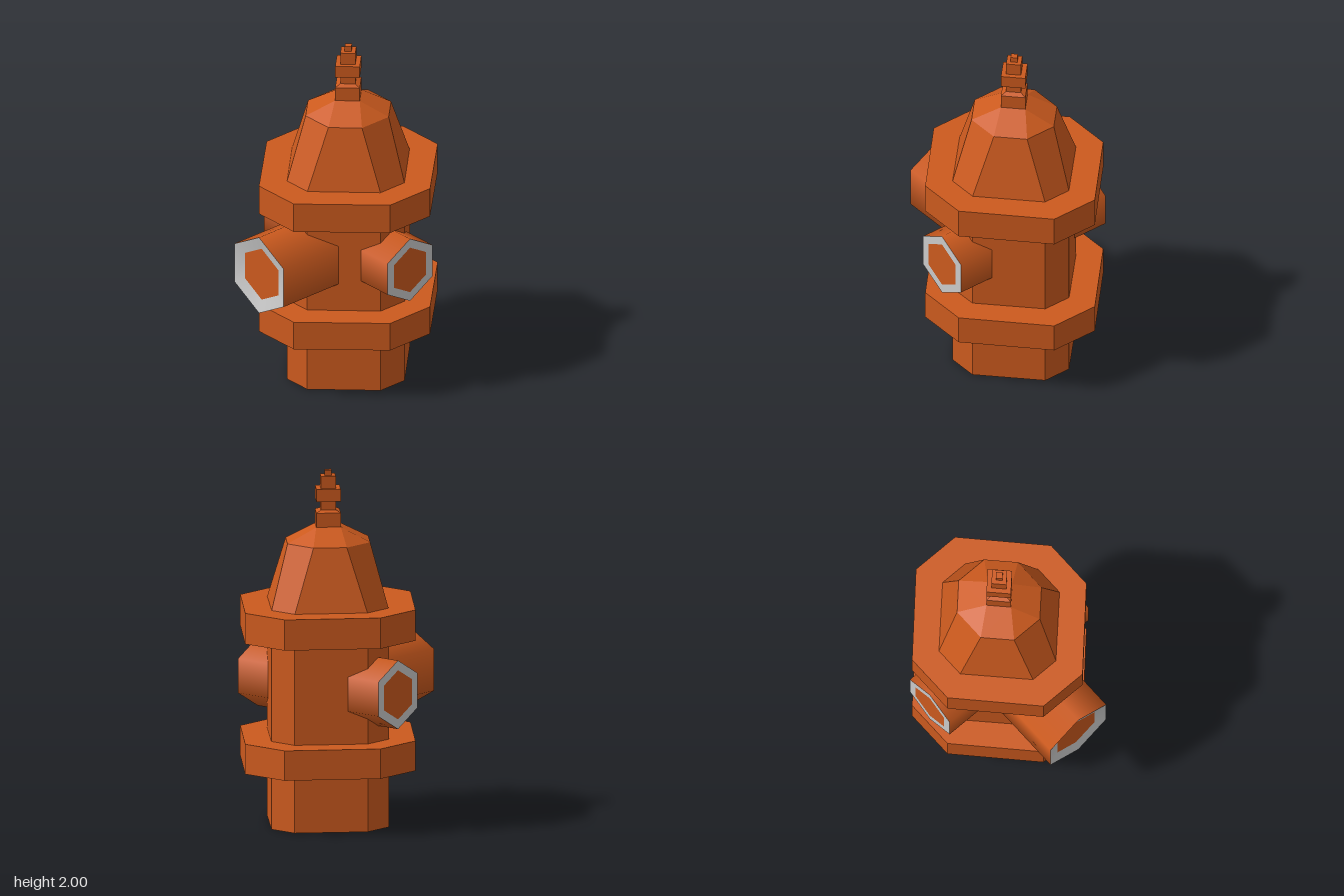
import * as THREE from 'three';

const paint = new THREE.MeshStandardMaterial({ color: 0xcc5a1e });
const metal = new THREE.MeshStandardMaterial({ color: 0xcccccc });
const CENTER_Z = -0.065;
const NOZZLE_Y = 0.785;

// Capped, flat-faced loft through octagons [y, halfX, halfZ, cornerX, cornerZ];
// zero corner values turn a section into a diamond.
function loft(name, sections) {
  const rings = sections.map(([y, hx, hz, cx, cz]) =>
    [[cx, hz], [hx, cz], [hx, -cz], [cx, -hz], [-cx, -hz], [-hx, -cz], [-hx, cz], [-cx, hz]]
      .map(([x, z]) => new THREE.Vector3(x, y, z)));
  const pos = [];
  const tri = (a, b, c) => {
    const area = b.clone().sub(a).cross(c.clone().sub(a)).length();
    if (area > 1e-8) for (const p of [a, b, c]) pos.push(p.x, p.y, p.z);
  };
  for (let r = 0; r < rings.length - 1; r++) {
    for (let i = 0; i < 8; i++) {
      const j = (i + 1) % 8;
      tri(rings[r][i], rings[r][j], rings[r + 1][j]);
      tri(rings[r][i], rings[r + 1][j], rings[r + 1][i]);
    }
  }
  const low = rings[0], high = rings[rings.length - 1];
  for (let i = 1; i < 7; i++) {
    tri(low[0], low[i + 1], low[i]);
    tri(high[0], high[i], high[i + 1]);
  }
  const geo = new THREE.BufferGeometry();
  geo.setAttribute('position', new THREE.Float32BufferAttribute(pos, 3));
  geo.computeVertexNormals();
  const mesh = new THREE.Mesh(geo, paint);
  mesh.name = name;
  return mesh;
}

// Hexagonal outlet pointing along +z, with a grey rim around a painted cap
function nozzle(name, radius, innerRadius, start, end, bevel) {
  const group = new THREE.Group();
  group.name = name;
  const add = (part, geo, material) => {
    const mesh = new THREE.Mesh(geo.rotateX(Math.PI / 2), material);
    mesh.name = part;
    group.add(mesh);
  };
  const barrel = new THREE.CylinderGeometry(radius, radius, end - start, 6, 1, true);
  add('barrel', barrel.rotateY(Math.PI).translate(0, (start + end) / 2, 0), paint);
  const rim = new THREE.LatheGeometry(
    [new THREE.Vector2(radius, end), new THREE.Vector2(innerRadius, end - bevel)], 6);
  add('rim', rim, new THREE.MeshStandardMaterial({ color: metal.color, side: THREE.DoubleSide }));
  const cap = new THREE.CircleGeometry(innerRadius, 6, Math.PI / 2);
  add('cap', cap.rotateX(-Math.PI / 2).translate(0, end - bevel, 0), paint);
  group.position.y = NOZZLE_Y;
  return group;
}

export function createModel() {
  const model = new THREE.Group();
  model.name = 'hydrant';
  const hydrant = new THREE.Group();
  hydrant.name = 'hydrantBody';
  hydrant.position.z = CENTER_Z;
  model.add(hydrant);

  // Barrel and the two wide flanges
  const body = [0.37, 0.385, 0.085, 0.09];
  const flange = [0.515, 0.54, 0.145, 0.15];
  hydrant.add(loft('barrel', [[0, ...body], [1.1, ...body]]));
  hydrant.add(loft('lowerFlange', [[0.33, ...flange], [0.5, ...flange]]));
  hydrant.add(loft('upperFlange', [[1.07, ...flange], [1.245, ...flange]]));

  // Tapered bonnet closing to a diamond
  hydrant.add(loft('bonnet', [
    [1.24, ...body],
    [1.6, 0.225, 0.235, 0.095, 0.1],
    [1.685, 0.095, 0.1, 0, 0],
  ]));

  // Stepped square finial, turned 45 degrees
  const steps = [[1.68, 0.095], [1.765, 0.095], [1.778, 0.058], [1.83, 0.058], [1.83, 0.095],
    [1.9, 0.095], [1.9, 0.058], [1.97, 0.058], [1.97, 0.026], [2, 0.026]];
  hydrant.add(loft('finial', steps.map(([y, r]) => [y, r, r * 1.04, 0, 0])));

  // Large front outlet and a mirrored pair of side outlets
  hydrant.add(nozzle('frontNozzle', 0.238, 0.16, 0.2, 0.67, 0.02));
  for (const side of [1, -1]) {
    const outlet = nozzle(side > 0 ? 'leftNozzle' : 'rightNozzle', 0.195, 0.14, 0.2, 0.515, 0);
    outlet.rotation.y = side * Math.PI / 2;
    hydrant.add(outlet);
  }
  return model;
}
